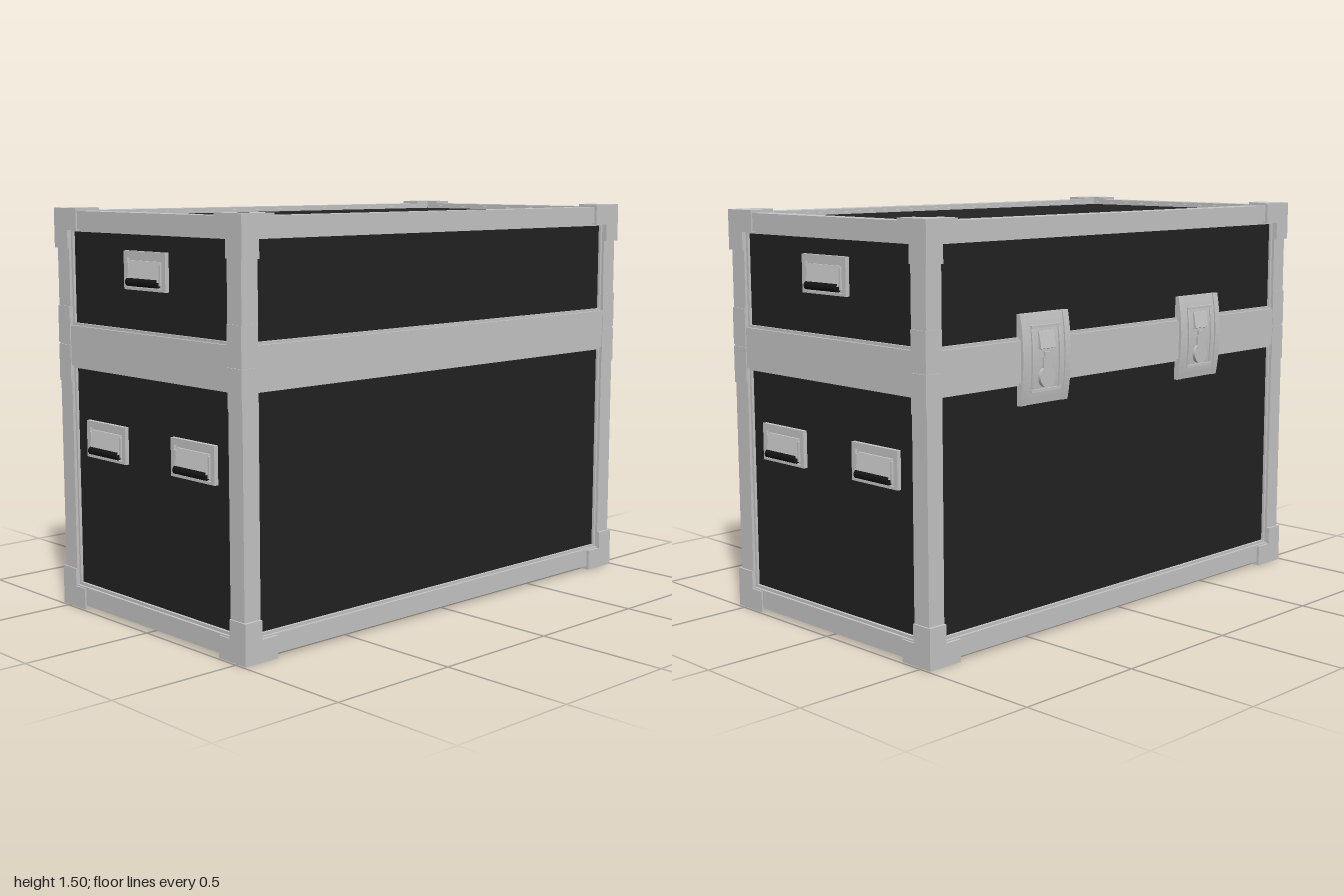
import * as THREE from 'three';

const metal = new THREE.MeshStandardMaterial({ color: 0xc6c6c6 });
metal.name = 'aluminium';
const board = new THREE.MeshStandardMaterial({ color: 0x222222 });
board.name = 'black board';
const rubber = new THREE.MeshStandardMaterial({ color: 0x141414 });
rubber.name = 'grip rubber';

function add(parent, name, geometry, material, x = 0, y = 0, z = 0) {
  const mesh = new THREE.Mesh(geometry, material);
  mesh.name = name;
  mesh.position.set(x, y, z);
  parent.add(mesh);
  return mesh;
}

// Box given by its lower and upper limits
function span(parent, name, material, [x0, x1], [y0, y1], [z0, z1]) {
  return add(parent, name, new THREE.BoxGeometry(x1 - x0, y1 - y0, z1 - z0), material,
    (x0 + x1) / 2, (y0 + y1) / 2, (z0 + z1) / 2);
}

function tracePath(path, x0, x1, y0, y1) {
  path.moveTo(x0, y0);
  path.lineTo(x1, y0);
  path.lineTo(x1, y1);
  path.lineTo(x0, y1);
  path.closePath();
  return path;
}

// Flat plate with rectangular openings; its front lies at z = depth
function plate(outer, openings, depth) {
  const shape = tracePath(new THREE.Shape(), ...outer);
  for (const o of openings) shape.holes.push(tracePath(new THREE.Path(), ...o));
  return new THREE.ExtrudeGeometry(shape, { depth, bevelEnabled: false });
}

// Rails of one case face, with a lower inner lip around each opening
function faceFrame(name, outer, openings) {
  const g = new THREE.Group();
  g.name = name;
  const shrunk = openings.map(([a, b, c, d]) => [a + 0.01, b - 0.01, c + 0.01, d - 0.01]);
  add(g, 'rails', plate(outer, openings, 0.022), metal, 0, 0, -0.022);
  const inner = [outer[0] + 0.02, outer[1] - 0.02, outer[2] + 0.02, outer[3] - 0.02];
  add(g, 'innerLip', plate(inner, shrunk, 0.014), metal, 0, 0, -0.024);
  return g;
}

// Profile in depth and height, swept along the width
function sweep(points, width) {
  const shape = new THREE.Shape(points.map(([z, y]) => new THREE.Vector2(-z, y)));
  const geo = new THREE.ExtrudeGeometry(shape, { depth: width, bevelEnabled: false });
  return geo.translate(0, 0, -width / 2).rotateY(Math.PI / 2);
}

// Recessed handle with a drop flap and black grip; z = 0 is the board
function makeHandle() {
  const g = new THREE.Group();
  g.name = 'handle';
  add(g, 'dish', new THREE.BoxGeometry(0.23, 0.13, 0.006), metal, 0, 0, 0.003);
  add(g, 'rim', plate([-0.12, 0.12, -0.068, 0.068], [[-0.1, 0.1, -0.058, 0.045]], 0.016), metal);
  add(g, 'flap', sweep([[0, -0.035], [0.028, -0.035], [0.014, 0.035], [0, 0.035]], 0.175), metal);
  for (const s of [-1, 1])
    add(g, 'arm', new THREE.BoxGeometry(0.008, 0.075, 0.02), metal, s * 0.092, -0.01, 0.01);
  const grip = add(g, 'grip', new THREE.CylinderGeometry(0.015, 0.015, 0.172, 12), rubber, 0, -0.04, 0.022);
  grip.rotation.z = Math.PI / 2;
  return g;
}

// Bowed outline used for the latch plate
function bow(halfHeight, edge, middle) {
  const points = [[-0.022, -halfHeight]];
  for (let i = 0; i <= 12; i++) {
    const t = i / 6 - 1;
    points.push([edge + (middle - edge) * (1 - t * t), t * halfHeight]);
  }
  points.push([-0.022, halfHeight]);
  return points;
}

// Butterfly latch; z = 0 is the face of the rails
function makeLatch() {
  const g = new THREE.Group();
  g.name = 'latch';
  add(g, 'backPlate', sweep(bow(0.16, -0.008, 0.006), 0.24), metal);
  for (const s of [-1, 1]) {
    add(g, 'sideRib', sweep(bow(0.16, -0.004, 0.012), 0.028), metal, s * 0.106);
    add(g, 'innerRib', sweep(bow(0.115, 0.002, 0.013), 0.01), metal, s * 0.068);
    add(g, 'crossRib', new THREE.BoxGeometry(0.146, 0.01, 0.016), metal, 0, s * 0.112, 0);
  }
  add(g, 'hasp', sweep([[0, 0.03], [0.018, 0.035], [0.006, 0.095], [0, 0.095]], 0.075), metal);
  add(g, 'catch', new THREE.BoxGeometry(0.03, 0.026, 0.012), metal, 0, 0.01, 0.01);
  add(g, 'turnBar', new THREE.BoxGeometry(0.04, 0.07, 0.012), metal, 0, -0.03, 0.009);
  const knob = add(g, 'knob', new THREE.CylinderGeometry(0.038, 0.038, 0.014, 24), metal, 0, -0.066, 0.008);
  knob.rotation.x = Math.PI / 2;
  return g;
}

// Three-legged cap on a corner of the case
function makeCorner(sx, top, sz) {
  const g = new THREE.Group();
  g.name = 'cornerCap';
  const side = (s, a, b) => (s > 0 ? [a, b] : [-b, -a]);
  const tall = (d) => (top ? [1.5 - d, 1.5] : [0, d]);
  const X = (a) => side(sx, a, 0.991);
  const Z = (a) => side(sz, a, 0.541);
  span(g, 'legAcross', metal, X(0.85), tall(0.08), Z(0.457));
  span(g, 'legDown', metal, X(0.917), tall(0.147), Z(0.457));
  span(g, 'legBack', metal, X(0.917), tall(0.08), Z(0.4));
  return g;
}

export function createModel() {
  const model = new THREE.Group();
  model.name = 'flightCase';

  // Boards
  span(model, 'boards', board, [-0.965, 0.965], [0.035, 1.47], [-0.51, 0.51]);

  // Rails on all six faces
  const wall = (half, open) => [[-half, half, 0.015, 1.49],
    [[-open, open, 0.085, 0.922], [-open, open, 1.07, 1.425]]];
  const cover = [[-0.985, 0.985, -0.53, 0.53], [[-0.917, 0.917, -0.457, 0.457]]];
  for (const s of [-1, 1]) {
    const long = faceFrame(s > 0 ? 'frontFrame' : 'backFrame', ...wall(0.985, 0.917));
    long.position.z = s * 0.53;
    if (s < 0) long.rotation.y = Math.PI;
    const short = faceFrame(s > 0 ? 'leftFrame' : 'rightFrame', ...wall(0.53, 0.457));
    short.position.x = s * 0.985;
    short.rotation.y = s * Math.PI / 2;
    const flat = faceFrame(s > 0 ? 'topFrame' : 'bottomFrame', ...cover);
    flat.position.y = s > 0 ? 1.49 : 0.015;
    flat.rotation.x = -s * Math.PI / 2;
    model.add(long, short, flat);
  }

  // Corner caps and the lid braces on the posts
  for (const sx of [-1, 1]) for (const sz of [-1, 1]) {
    for (const top of [false, true]) model.add(makeCorner(sx, top, sz));
    for (const [y0, y1] of [[0.86, 0.997], [1.003, 1.14]])
      add(model, 'lidBrace', new THREE.BoxGeometry(0.072, y1 - y0, 0.074), metal,
        sx * 0.953, (y0 + y1) / 2, sz * 0.495);
  }

  // Three handles on each end
  for (const s of [-1, 1]) for (const [y, z] of [[1.29, 0], [0.657, 0.255], [0.657, -0.255]]) {
    const handle = makeHandle();
    handle.position.set(s * 0.965, y, z);
    handle.rotation.y = s * Math.PI / 2;
    model.add(handle);
  }

  // Two latches on the back
  for (const s of [-1, 1]) {
    const latch = makeLatch();
    latch.position.set(s * 0.43, 1, -0.53);
    latch.rotation.y = Math.PI;
    model.add(latch);
  }
  return model;
}
